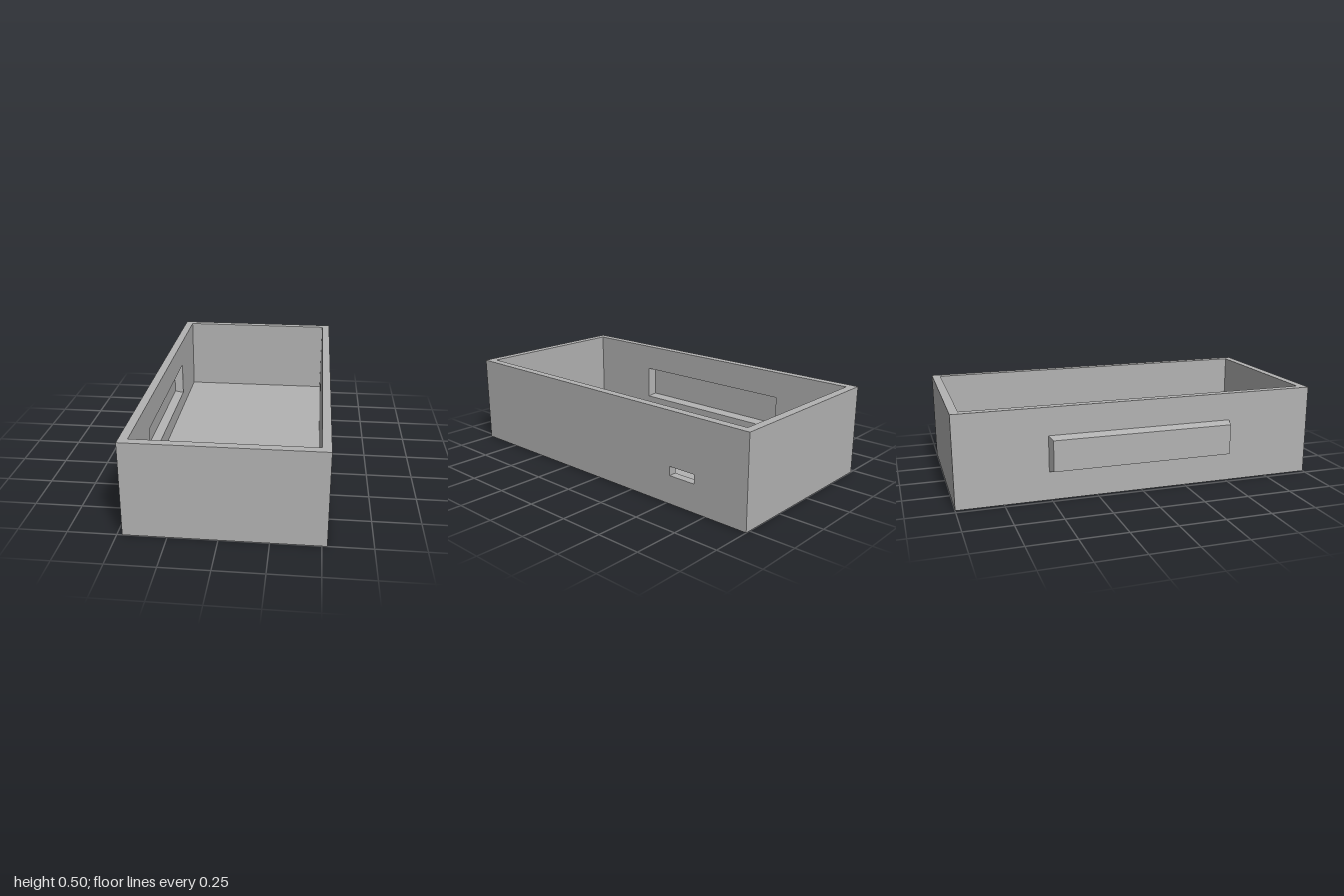
import * as THREE from 'three';

// Main dimensions of the open tray
const X0 = -0.473, X1 = 0.526, HEIGHT = 0.5, LENGTH = 2;
const WALL = 0.046, FLOOR = 0.06;

// Rectangle in (z, y), as a shape or a hole
function rect(Type, z0, z1, y0, y1) {
  const r = new Type();
  r.moveTo(z0, y0);
  r.lineTo(z1, y0);
  r.lineTo(z1, y1);
  r.lineTo(z0, y1);
  r.closePath();
  return r;
}

// Long wall with a rectangular opening; xMax is its +x face
function sideWall(xMax, hole) {
  const shape = rect(THREE.Shape, -LENGTH / 2, LENGTH / 2, 0, HEIGHT);
  shape.holes.push(rect(THREE.Path, ...hole));
  const g = new THREE.ExtrudeGeometry(shape, { depth: WALL, bevelEnabled: false });
  return g.rotateY(-Math.PI / 2).translate(xMax, 0, 0);
}

// Tapered box without its +x face, narrowing by inset toward -x
function taperedCap(xOpen, depth, hole, inset, inward) {
  const [z0, z1, y0, y1] = hole;
  const g = new THREE.BoxGeometry(depth, y1 - y0, z1 - z0);
  const p = g.attributes.position;
  for (let i = 0; i < p.count; i++) {
    if (p.getX(i) > 0) continue;
    p.setY(i, p.getY(i) - Math.sign(p.getY(i)) * inset);
    p.setZ(i, p.getZ(i) - Math.sign(p.getZ(i)) * inset);
  }
  const index = Array.from(g.index.array).slice(6);
  g.setIndex(inward ? index.reverse() : index);
  g.clearGroups();
  g.computeVertexNormals();
  return g.translate(xOpen - depth / 2, (y0 + y1) / 2, (z0 + z1) / 2);
}

export function createModel() {
  const group = new THREE.Group();
  const grey = new THREE.MeshStandardMaterial({ color: 0xb2b2b2 });
  grey.name = 'grey';

  const add = (name, geometry) => {
    const mesh = new THREE.Mesh(geometry, grey);
    mesh.name = name;
    group.add(mesh);
  };

  // Long walls: a slot through the left one, a pocket in the right one
  const slot = [-0.68, -0.52, 0.155, 0.205];
  const pocket = [-0.51, 0.51, 0.155, 0.349];
  add('leftWall', sideWall(X1, slot));
  add('rightWall', sideWall(X0 + WALL, pocket));

  // Bulge on the outside of the right wall and the recess behind it
  add('pocketBulge', taperedCap(X0, 0.053, pocket, 0.0135, false));
  add('pocketRecess', taperedCap(X0 + WALL, 0.05, pocket, 0.0125, true));

  // Floor and end walls between the long walls
  const innerWidth = X1 - X0 - 2 * WALL;
  const midX = (X0 + X1) / 2;
  add('floor', new THREE.BoxGeometry(innerWidth, FLOOR, LENGTH - 2 * WALL).translate(midX, FLOOR / 2, 0));
  for (const [name, s] of [['frontWall', 1], ['backWall', -1]]) {
    add(name, new THREE.BoxGeometry(innerWidth, HEIGHT, WALL)
      .translate(midX, HEIGHT / 2, s * (LENGTH - WALL) / 2));
  }
  return group;
}
